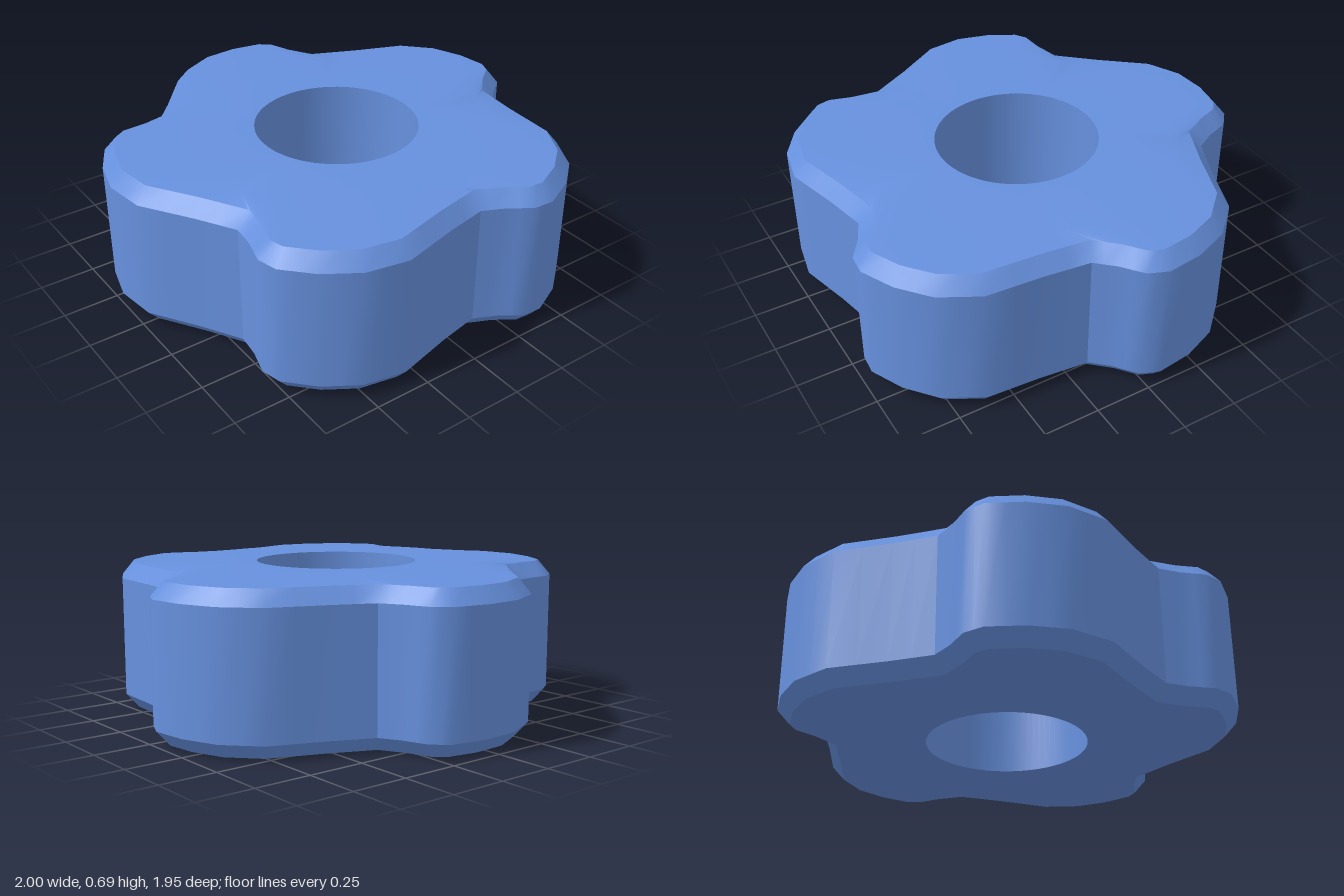
import * as THREE from 'three';
import { toCreasedNormals } from 'three/addons/utils/BufferGeometryUtils.js';

const LOBES = 5;
// One lobe of the outline: [angle in degrees clockwise from the back, radius]
const LOBE = [
  [-16.8, 0.971], [-6.2, 1.016], [3.4, 1.022], [12.5, 1.014],
  [17.3, 0.974], [21.9, 0.884], [27.5, 0.823], [40.7, 0.856],
];

const polar = (angle, r) => new THREE.Vector2(Math.sin(angle) * r, -Math.cos(angle) * r);

// Repeat the lobe around the axis
function makeOutline() {
  const points = [];
  for (let i = 0; i < LOBES; i++) {
    for (const [deg, r] of LOBE) points.push(polar(THREE.MathUtils.degToRad(deg + i * 360 / LOBES), r));
  }
  return points;
}

// Move every edge inwards by the same distance
function inset(points, d) {
  const n = points.length;
  const normal = (a, b) => new THREE.Vector2(b.y - a.y, a.x - b.x).normalize();
  return points.map((p, i) => {
    const n1 = normal(points[(i + n - 1) % n], p);
    const n2 = normal(p, points[(i + 1) % n]);
    const m = n1.clone().add(n2).normalize();
    return p.clone().addScaledVector(m, -d / m.dot(n1));
  });
}

// Add the middle of each edge so the round hole gets enough sides
const subdivide = (points) =>
  points.flatMap((p, i) => [p, p.clone().lerp(points[(i + 1) % points.length], 0.5)]);

// Skin a closed loop of rings, each { y, points }
function skinRings(rings) {
  const n = rings[0].points.length;
  const positions = [];
  const index = [];
  for (const { y, points } of rings) for (const p of points) positions.push(p.x, y, p.y);
  for (let r = 0; r < rings.length; r++) {
    const s = (r + 1) % rings.length;
    for (let j = 0; j < n; j++) {
      const k = (j + 1) % n;
      index.push(r * n + k, r * n + j, s * n + j, r * n + k, s * n + j, s * n + k);
    }
  }
  const geometry = new THREE.BufferGeometry();
  geometry.setAttribute('position', new THREE.Float32BufferAttribute(positions, 3));
  geometry.setIndex(index);
  return toCreasedNormals(geometry, 0.6);
}

export function createModel() {
  const group = new THREE.Group();
  group.name = 'lobedKnob';

  const outline = makeOutline();
  const wall = subdivide(outline);
  const rim = subdivide(inset(outline, 0.055));
  const start = THREE.MathUtils.degToRad(LOBE[0][0]);
  const circle = (r) => wall.map((_, i) => polar(start + i / wall.length * Math.PI * 2, r));

  // Bevelled body with a slightly raised top and a hole through the middle
  const body = new THREE.Mesh(
    skinRings([
      { y: 0, points: circle(0.36) },
      { y: 0, points: rim },
      { y: 0.065, points: wall },
      { y: 0.603, points: wall },
      { y: 0.67, points: rim },
      { y: 0.685, points: circle(0.69) },
      { y: 0.685, points: circle(0.36) },
    ]),
    new THREE.MeshStandardMaterial({ color: 0x6690dd }),
  );
  body.name = 'knobBody';
  body.position.set(-0.01, 0, 0.04);
  group.add(body);
  return group;
}
